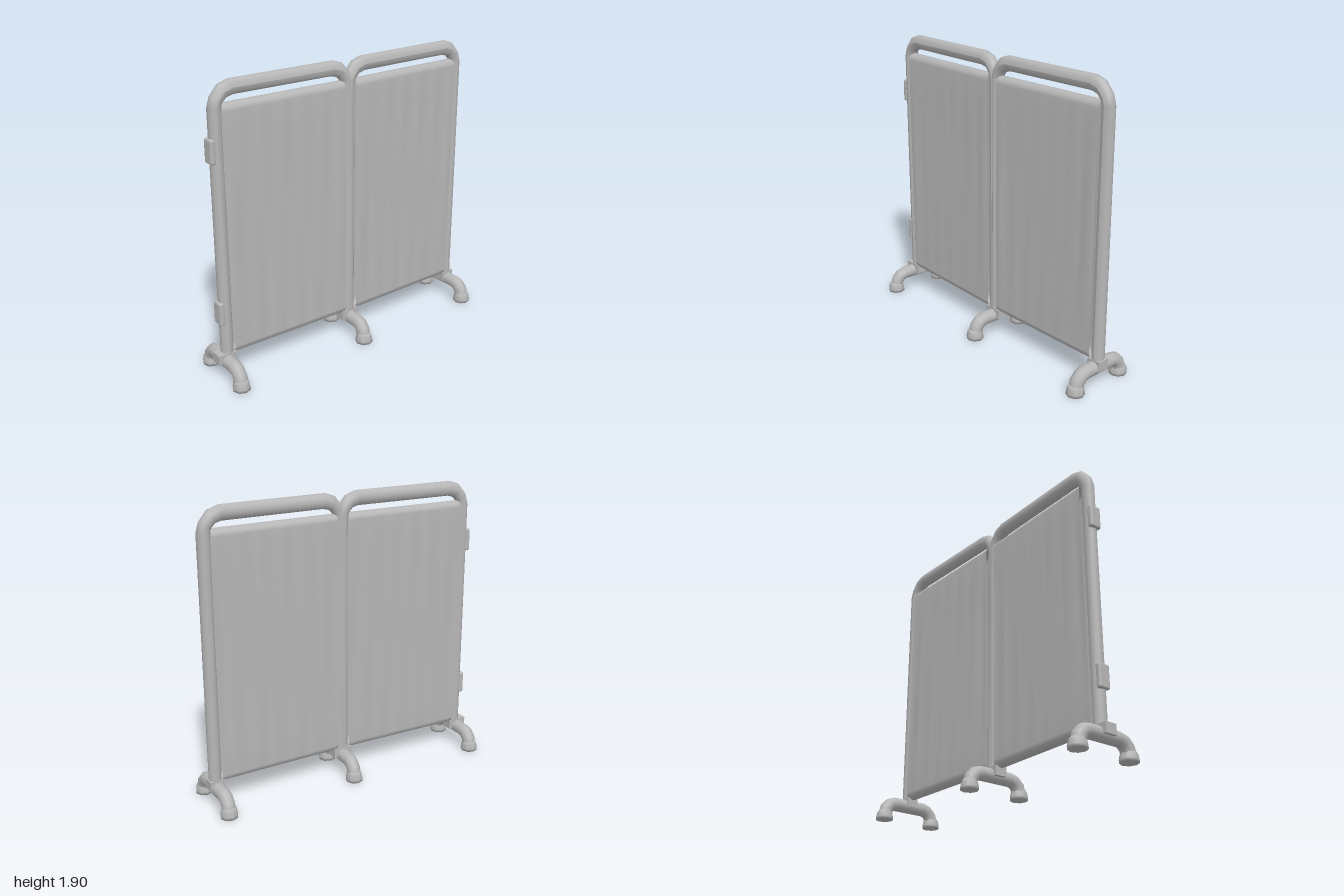
import * as THREE from 'three';
import { RoundedBoxGeometry } from 'three/addons/geometries/RoundedBoxGeometry.js';

// Curve through given points, sampled exactly at those points
class BentPath extends THREE.Curve {
  constructor(points) {
    super();
    this.points = points;
  }
  at(i) {
    return this.points[THREE.MathUtils.clamp(i, 0, this.points.length - 1)];
  }
  getPointAt(u, target = new THREE.Vector3()) {
    return target.copy(this.at(Math.round(u * (this.points.length - 1))));
  }
  getTangentAt(u, target = new THREE.Vector3()) {
    const i = Math.round(u * (this.points.length - 1));
    const a = this.at(i).clone().sub(this.at(i - 1)).normalize();
    const b = this.at(i + 1).clone().sub(this.at(i)).normalize();
    return target.copy(a.add(b)).normalize();
  }
}

// Tube shaped like an upside-down U, with rounded corners, in the xy plane
function archGeometry(x0, x1, yBottom, yTop, bend, radius, sides) {
  const pts = [new THREE.Vector3(x0, yBottom, 0)];
  const steps = 3;
  for (const side of [0, 1]) {
    for (let i = 0; i <= steps; i++) {
      const a = Math.PI - (side + i / steps) * Math.PI / 2;
      const cx = side ? x1 - bend : x0 + bend;
      pts.push(new THREE.Vector3(cx + bend * Math.cos(a), yTop - bend + bend * Math.sin(a), 0));
    }
  }
  pts.push(new THREE.Vector3(x1, yBottom, 0));
  return new THREE.TubeGeometry(new BentPath(pts), pts.length - 1, radius, sides, false);
}

// Loop of pleated cloth running up the front, over a top rod, down the back and under a bottom rod
function fabricGeometry(width, yBottom, yTop, radius) {
  const rows = [];
  const steps = 10;
  const arc = 6;
  for (let i = 0; i <= steps; i++) rows.push([yBottom + (yTop - yBottom) * i / steps, radius]);
  for (let i = 1; i < arc; i++) {
    const a = Math.PI * i / arc;
    rows.push([yTop + radius * Math.sin(a), radius * Math.cos(a)]);
  }
  for (let i = steps; i >= 0; i--) rows.push([yBottom + (yTop - yBottom) * i / steps, -radius]);
  for (let i = 1; i <= arc; i++) {
    const a = Math.PI * (1 + i / arc);
    rows.push([yBottom + radius * Math.sin(a), radius * Math.cos(a)]);
  }
  const columns = 12;
  const geometry = new THREE.PlaneGeometry(width, 1, columns, rows.length - 1);
  const p = geometry.attributes.position;
  for (let i = 0; i < p.count; i++) {
    const row = Math.floor(i / (columns + 1));
    const u = p.getX(i) / width + 0.5;
    const [y, z] = rows[rows.length - 1 - row];
    const v = THREE.MathUtils.clamp((y - yBottom) / (yTop - yBottom), 0, 1);
    const bulge = Math.sqrt(Math.max(0, Math.sin(Math.PI * u))) * Math.sin(Math.PI * v);
    p.setY(i, y);
    p.setZ(i, z - 0.027 * Math.cos(columns * Math.PI * u) * bulge);
  }
  geometry.computeVertexNormals();
  return geometry;
}

export function createModel() {
  const model = new THREE.Group();
  const grey = new THREE.MeshStandardMaterial({ color: 0xb6b6b6, side: THREE.DoubleSide });
  grey.name = 'grey';

  function add(parent, name, geometry, x = 0, y = 0, z = 0) {
    const mesh = new THREE.Mesh(geometry, grey);
    mesh.name = name;
    mesh.position.set(x, y, z);
    parent.add(mesh);
    return mesh;
  }

  // One screen panel: bent tube frame with a loop of fabric
  function addPanel(name, x, width, turn) {
    const panel = new THREE.Group();
    panel.name = name;
    panel.position.set(x, 0, 0.012);
    panel.rotation.y = turn;
    model.add(panel);

    // The top rail is slightly deeper than the posts
    const frame = archGeometry(0, width, 0.11, 1.85, 0.11, 0.041, 12);
    const fp = frame.attributes.position;
    for (let i = 0; i < fp.count; i++) {
      const y = fp.getY(i);
      const k = 1 + 0.2 * THREE.MathUtils.smoothstep(y, 1.72, 1.82);
      fp.setY(i, 1.85 + (y - 1.85) * k);
    }
    frame.computeVertexNormals();
    add(panel, 'frame', frame);
    add(panel, 'fabric', fabricGeometry(width - 0.07, 0.203, 1.722, 0.044), width / 2);
    return panel;
  }

  const hingePanel = addPanel('rightPanel', -0.918, 0.926, 0);
  addPanel('leftPanel', 0.022, 0.916, 0.037);

  // Hinge plates on the free post
  const hinge = new RoundedBoxGeometry(0.036, 0.15, 0.08, 2, 0.012);
  for (const y of [0.455, 1.495]) add(hingePanel, 'hinge', hinge, -0.038, y);

  // Feet: arched cross tube, two flared pads and a clamp block
  const arch = archGeometry(-0.187, 0.187, 0.04, 0.12, 0.075, 0.045, 10);
  arch.rotateY(Math.PI / 2);
  const pad = new THREE.LatheGeometry([
    [0, 0], [0.057, 0], [0.057, 0.018], [0.051, 0.05], [0.042, 0.066], [0, 0.068],
  ].map(([r, y]) => new THREE.Vector2(r, y)), 8);
  const feet = [
    ['rightFoot', -0.933, 0.012, 0, 0.13],
    ['middleFoot', 0.017, 0.012, 0, 0.13],
    ['leftFoot', 0.936, -0.022, 0.037, 0.098],
  ];
  for (const [name, x, z, turn, clampWidth] of feet) {
    const foot = new THREE.Group();
    foot.name = name;
    foot.position.set(x, 0, z);
    foot.rotation.y = turn;
    model.add(foot);
    add(foot, 'crossTube', arch);
    for (const s of [-1, 1]) add(foot, 'pad', pad, 0, 0, s * 0.19);
    add(foot, 'clamp', new THREE.BoxGeometry(clampWidth, 0.065, 0.08), 0, 0.142, 0);
  }
  return model;
}
